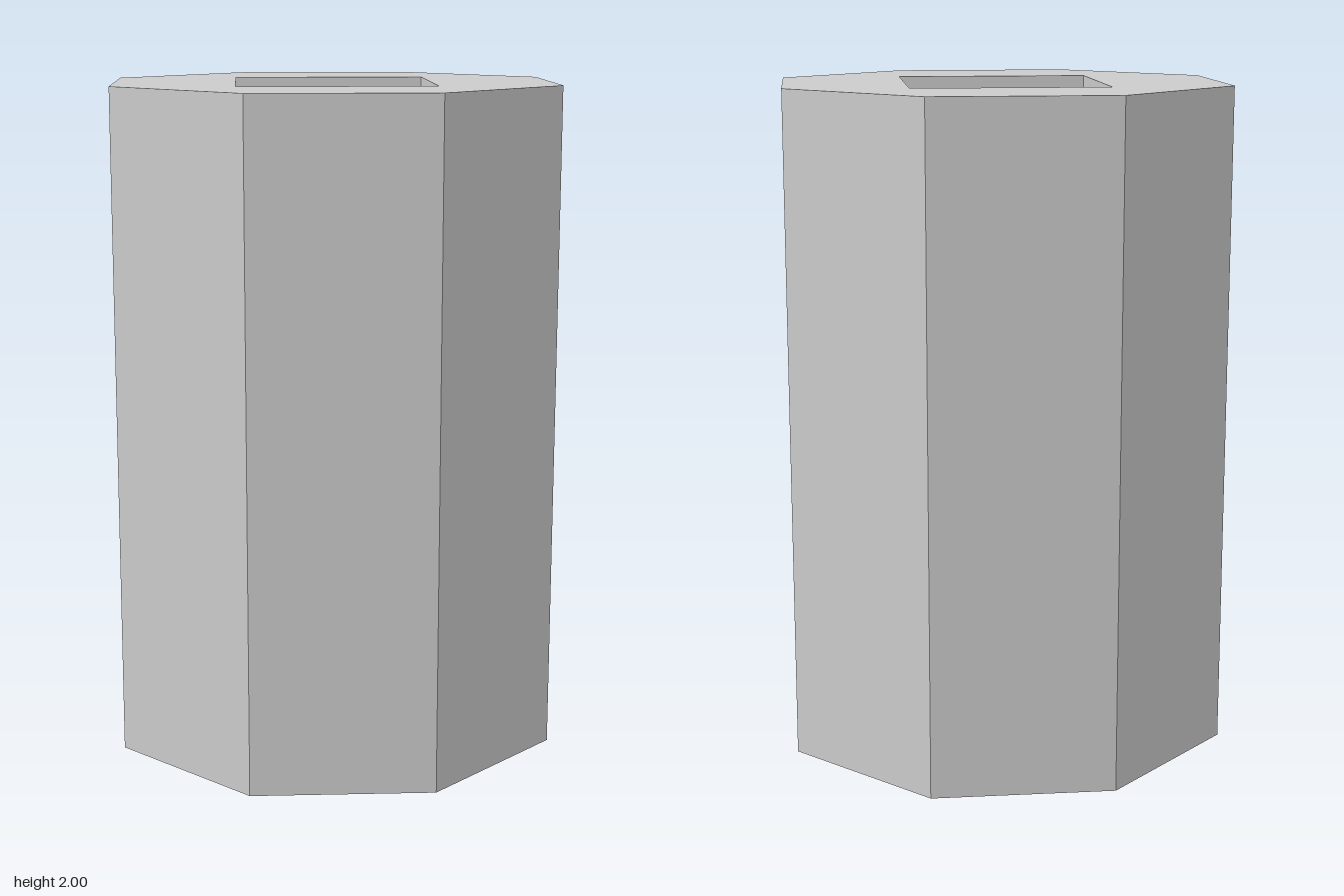
import * as THREE from 'three';

// Corners of a regular polygon
function polygon(sides, radius, turn = 0) {
  return Array.from({ length: sides }, (_, i) => {
    const a = turn + (i / sides) * Math.PI * 2;
    return new THREE.Vector2(Math.cos(a) * radius, Math.sin(a) * radius);
  });
}

export function createModel() {
  const group = new THREE.Group();
  group.name = 'octagonalSleeve';

  // Octagonal outline with a turned square bore running right through
  const outline = new THREE.Shape(polygon(8, 0.704));
  outline.holes.push(new THREE.Path(polygon(4, 0.411, Math.PI / 8).reverse()));

  const geometry = new THREE.ExtrudeGeometry(outline, { depth: 2, steps: 1, bevelEnabled: false });
  geometry.rotateX(-Math.PI / 2);

  const sleeve = new THREE.Mesh(
    geometry,
    new THREE.MeshStandardMaterial({ color: 0xcccccc, flatShading: true })
  );
  sleeve.name = 'sleeve';
  group.add(sleeve);
  return group;
}
